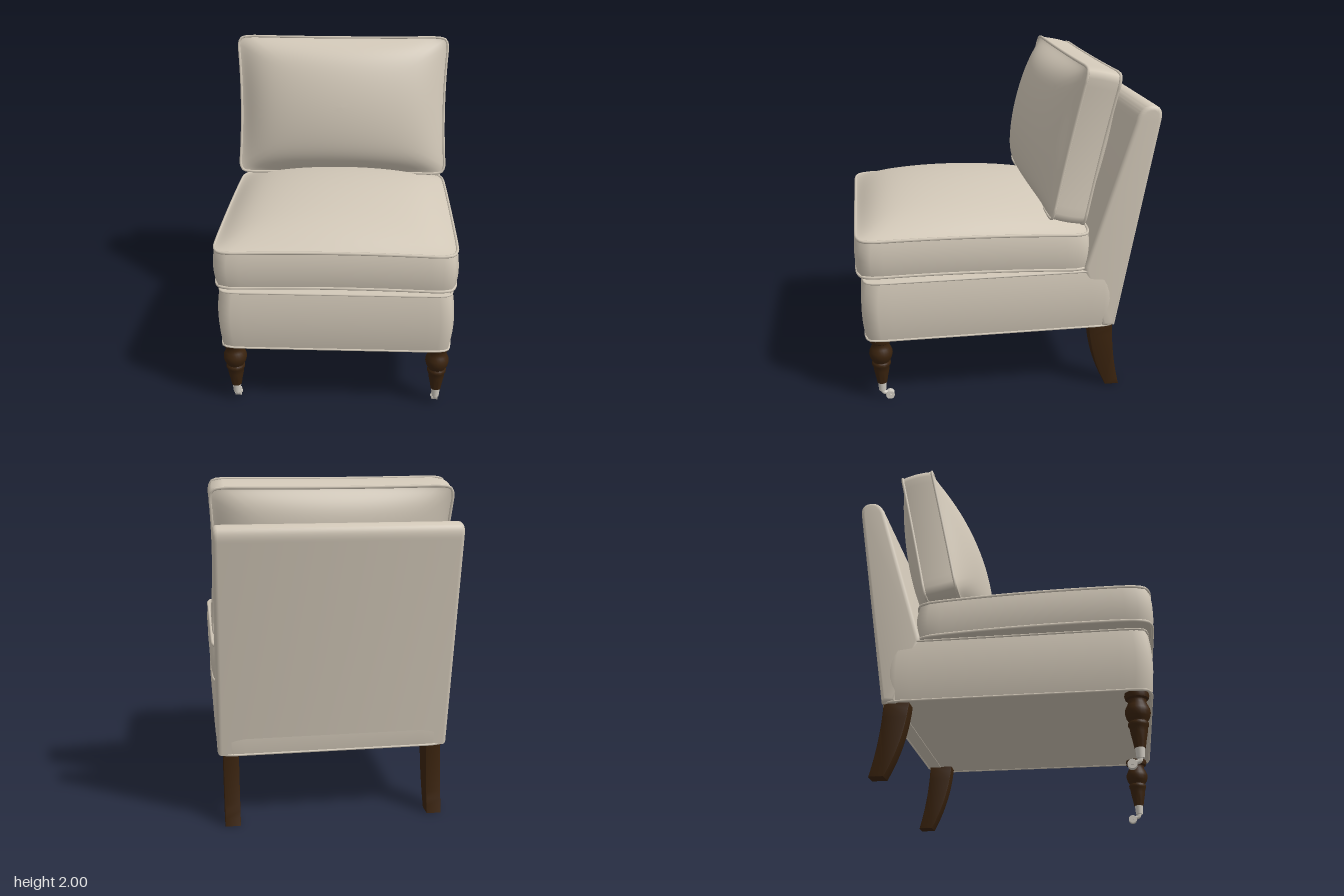
import * as THREE from 'three';
import { toCreasedNormals } from 'three/addons/utils/BufferGeometryUtils.js';
import { ParametricGeometry } from 'three/addons/geometries/ParametricGeometry.js';

const fabric = new THREE.MeshStandardMaterial({ color: 0xd2c8b8 });
fabric.name = 'linen fabric';
const wood = new THREE.MeshStandardMaterial({ color: 0x3a230e });
wood.name = 'dark wood';
const metal = new THREE.MeshStandardMaterial({ color: 0xcfcac0 });
metal.name = 'caster metal';

function mesh(name, geometry, material) {
  const m = new THREE.Mesh(geometry, material);
  m.name = name;
  return m;
}

// Upholstered pad: domed top and bottom, a side band and piping on both seams.
function cushion(name, { hx, hz, half, top, bottom, bow = 0, bulge = 0, pinch = 0, corner = 14, pipe = 0.009 }) {
  const group = new THREE.Group();
  group.name = name;

  // Point on the pad: s runs from centre to seam, h from -1 (bottom) to 1 (top).
  const point = (angle, s, h, dome, target) => {
    const c = Math.cos(angle), d = Math.sin(angle);
    const r = Math.pow(Math.abs(c) ** corner + Math.abs(d) ** corner, -1 / corner) * s;
    const u = c * r, v = d * r;
    const swell = bulge * (1 - h * h);
    const rise = Math.pow(Math.max(0, 1 - u * u), 0.6) * Math.pow(Math.max(0, 1 - v * v), 0.5) * (1 - s ** 10);
    return target.set(
      u * (hx * (1 - pinch * (1 - v * v)) + swell),
      h * half + bow * (1 - u * u * v * v) + dome * rise,
      v * (hz * (1 - pinch * 0.5 * (1 - u * u)) + swell));
  };
  const ease = (t) => Math.max(0.002, Math.sin(t * Math.PI / 2));
  const turn = Math.PI * 2;

  group.add(
    mesh('topPanel', new ParametricGeometry((u, v, p) => point(u * turn, ease(v), 1, top, p), 96, 20), fabric),
    mesh('sideBand', new ParametricGeometry((u, v, p) => point(u * turn, 1, 1 - 2 * v, 0, p), 96, 8), fabric),
    mesh('bottomPanel', new ParametricGeometry((u, v, p) => point(u * turn, ease(1 - v), -1, -bottom, p), 96, 20), fabric));

  for (const h of [1, -1]) {
    const points = [];
    for (let i = 0; i < 96; i++) points.push(point(i / 96 * turn, 1, h, 0, new THREE.Vector3()));
    const seam = new THREE.CatmullRomCurve3(points, true);
    group.add(mesh('piping', new THREE.TubeGeometry(seam, 192, pipe, 6, true), fabric));
  }
  return group;
}

// Side profile given as [z, y] points, extruded across x and centred.
function sideExtrude(shape, width, bevel) {
  const geometry = new THREE.ExtrudeGeometry(shape, {
    depth: width - 2 * bevel, bevelEnabled: true, bevelThickness: bevel,
    bevelSize: bevel, bevelOffset: -bevel, bevelSegments: 4, curveSegments: 10,
  });
  geometry.rotateY(-Math.PI / 2);
  geometry.translate(width / 2 - bevel, 0, 0);
  return toCreasedNormals(geometry, 0.6);
}

function backRest() {
  const s = new THREE.Shape();
  s.moveTo(-0.58, 0.42);
  s.lineTo(-0.66, 0.42);
  s.lineTo(-0.872, 1.68);
  s.quadraticCurveTo(-0.885, 1.745, -0.85, 1.765);
  s.quadraticCurveTo(-0.80, 1.785, -0.765, 1.755);
  s.quadraticCurveTo(-0.735, 1.73, -0.72, 1.68);
  s.lineTo(-0.46, 0.82);
  s.lineTo(-0.455, 0.79);
  return mesh('backRest', sideExtrude(s, 1.365, 0.025), fabric);
}

// Square sabre leg sweeping backwards
function backLeg(x) {
  const s = new THREE.Shape();
  s.moveTo(-0.505, 0.43);
  s.quadraticCurveTo(-0.52, 0.2, -0.625, 0);
  s.lineTo(-0.71, 0);
  s.quadraticCurveTo(-0.655, 0.21, -0.652, 0.43);
  const leg = mesh('backLeg', sideExtrude(s, 0.09, 0.004), wood);
  leg.position.x = x;
  return leg;
}

// Turned leg standing on a small trailing caster
function frontLeg(x) {
  const group = new THREE.Group();
  group.name = 'frontLeg';
  const profile = [
    [0, 0.43], [0.065, 0.43], [0.068, 0.41], [0.064, 0.392], [0.052, 0.384], [0.05, 0.368],
    [0.058, 0.352], [0.068, 0.33], [0.07, 0.31], [0.064, 0.285], [0.054, 0.268], [0.05, 0.26],
    [0.056, 0.252], [0.056, 0.238], [0.049, 0.228], [0.046, 0.2], [0.036, 0.15], [0.03, 0.115], [0, 0.115],
  ].reverse().map(([r, y]) => new THREE.Vector2(r, y));
  group.add(mesh('turnedLeg', toCreasedNormals(new THREE.LatheGeometry(profile, 24), 0.7), wood));

  const cup = mesh('casterCup', new THREE.CylinderGeometry(0.027, 0.022, 0.06, 20), metal);
  cup.position.y = 0.09;
  const arm = mesh('casterArm', new THREE.TubeGeometry(new THREE.CatmullRomCurve3([
    new THREE.Vector3(0, 0.07, 0), new THREE.Vector3(0, 0.045, -0.005), new THREE.Vector3(0, 0.035, -0.045),
  ]), 10, 0.013, 8), metal);
  const wheel = mesh('casterWheel', new THREE.CylinderGeometry(0.026, 0.026, 0.036, 20).rotateZ(Math.PI / 2), metal);
  wheel.position.set(0, 0.027, -0.045);
  const axle = mesh('casterAxle', new THREE.CylinderGeometry(0.009, 0.009, 0.05, 12).rotateZ(Math.PI / 2), metal);
  axle.position.copy(wheel.position);
  group.add(cup, arm, wheel, axle);
  group.position.set(x, 0, 0.755);
  return group;
}

export function createModel() {
  const chair = new THREE.Group();
  chair.name = 'slipperChair';

  const base = cushion('seatBase', {
    hx: 0.675, hz: 0.752, half: 0.182, top: 0.012, bottom: 0, bulge: 0.017, corner: 24, pipe: 0.007,
  });
  base.position.set(0, 0.605, 0.088);

  const seat = cushion('seatCushion', {
    hx: 0.69, hz: 0.68, half: 0.108, top: 0.16, bottom: 0.045, bow: 0.016, bulge: 0.012, corner: 16,
  });
  seat.position.set(0, 0.925, 0.19);
  seat.rotation.x = -0.02;

  const pillow = cushion('backCushion', {
    hx: 0.69, hz: 0.45, half: 0.095, top: 0.17, bottom: 0.13, bulge: 0.006, pinch: 0.03, corner: 22,
  });
  pillow.position.set(0, 1.535, -0.44);
  pillow.rotation.x = Math.PI / 2 - 0.21;

  chair.add(base, seat, pillow, backRest());
  for (const side of [-1, 1]) chair.add(frontLeg(side * 0.605), backLeg(side * 0.605));
  return chair;
}
